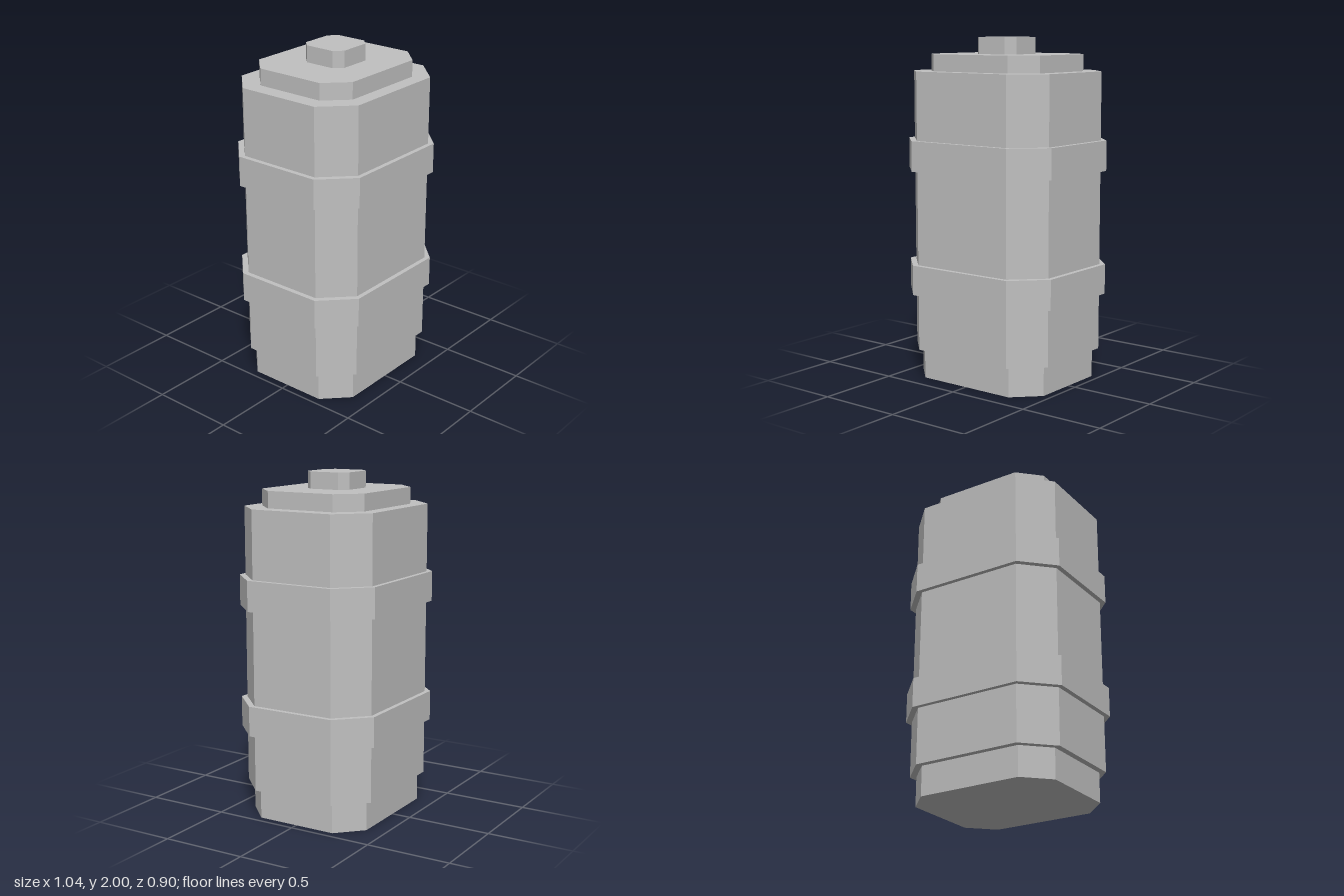
import * as THREE from 'three';

// Upright prism with chamfered corners: half width, half depth, corner cut, bottom and top heights
function prism(name, material, hx, hz, cut, y0, y1) {
  const shape = new THREE.Shape([
    [hx, -hz + cut], [hx, hz - cut], [hx - cut, hz], [-hx + cut, hz],
    [-hx, hz - cut], [-hx, -hz + cut], [-hx + cut, -hz], [hx - cut, -hz],
  ].map(([x, y]) => new THREE.Vector2(x, y)));
  const geometry = new THREE.ExtrudeGeometry(shape, { depth: y1 - y0, bevelEnabled: false });
  geometry.rotateX(-Math.PI / 2);
  geometry.translate(0, y0, 0);
  const mesh = new THREE.Mesh(geometry, material);
  mesh.name = name;
  return mesh;
}

export function createModel() {
  const model = new THREE.Group();
  model.name = 'canister';
  const grey = new THREE.MeshStandardMaterial({ color: 0xc0c0c0, flatShading: true });
  grey.name = 'grey';

  // Foot and main body
  model.add(prism('base', grey, 0.453, 0.385, 0.142, 0, 0.175));
  model.add(prism('body', grey, 0.49, 0.421, 0.166, 0.175, 1.806));

  // Two raised bands around the body
  model.add(prism('lowerBand', grey, 0.519, 0.448, 0.176, 0.507, 0.683));
  model.add(prism('upperBand', grey, 0.519, 0.448, 0.176, 1.233, 1.41));

  // Stepped lid with a small cap
  model.add(prism('lid', grey, 0.393, 0.336, 0.125, 1.806, 1.903));
  model.add(prism('cap', grey, 0.14, 0.138, 0.047, 1.903, 2));
  return model;
}
